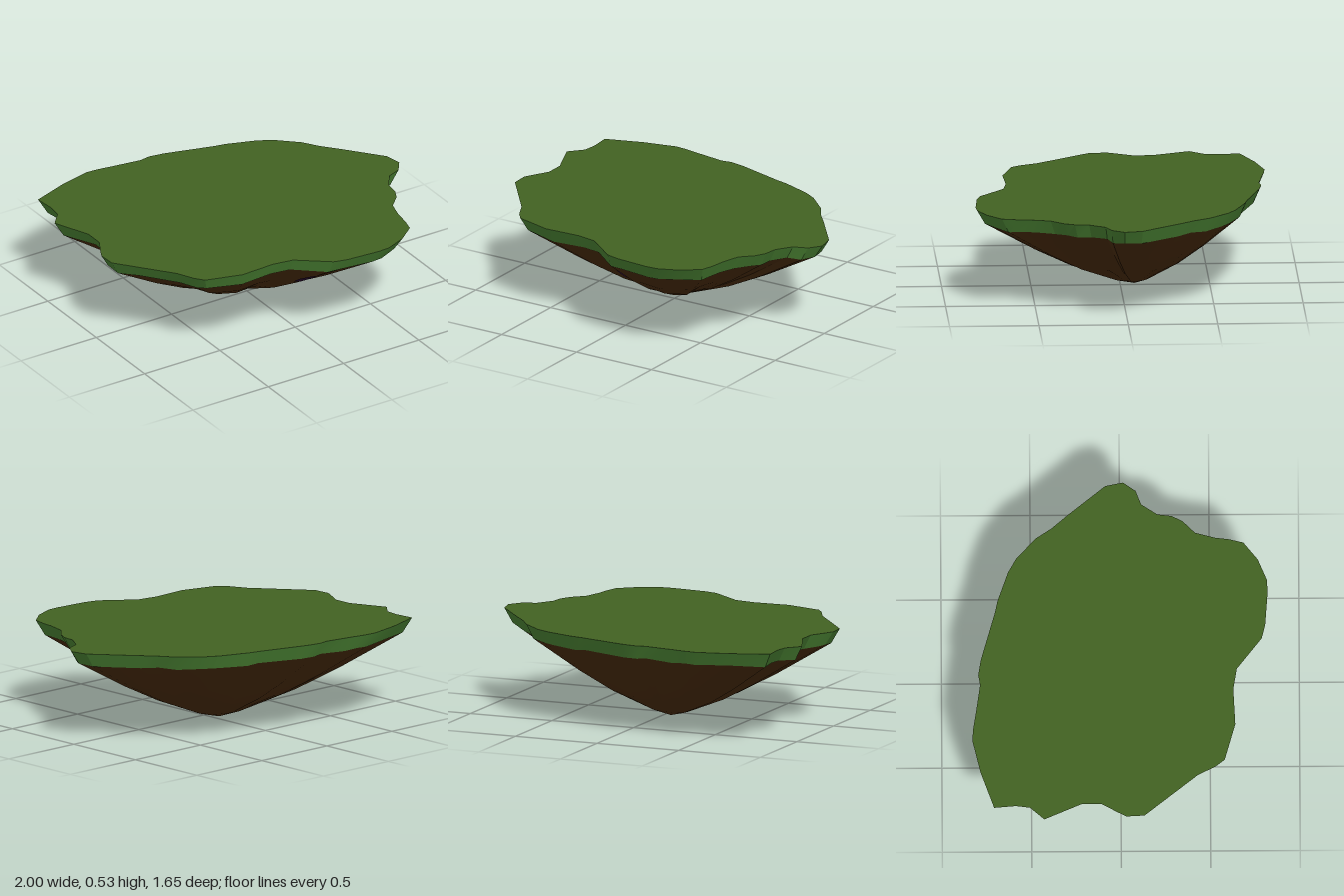
import * as THREE from 'three';
import { toCreasedNormals } from 'three/addons/utils/BufferGeometryUtils.js';

// coastline of the island (x, z), clockwise seen from above
const COAST = [
  [-.53, -.83], [-.46, -.825], [-.37, -.81], [-.2, -.785], [-.14, -.795], [-.05, -.78], [.23, -.7], [.3, -.685],
  [.47, -.625], [.55, -.58], [.67, -.47], [.73, -.38], [.8, -.3], [.98, -.08], [1, .02], [.95, .09],
  [.87, .12], [.81, .21], [.8, .29], [.77, .35], [.7, .42], [.67, .53], [.66, .61], [.64, .69],
  [.54, .77], [.42, .82], [.35, .825], [.15, .81], [.07, .79], [-.11, .65], [-.23, .63], [-.44, .64],
  [-.65, .58], [-.69, .53], [-.74, .43], [-.9, .23], [-.98, .13], [-.985, .03], [-.96, -.02], [-.91, -.11],
  [-.91, -.22], [-1, -.43], [-.93, -.51], [-.92, -.59], [-.93, -.71], [-.72, -.785],
];
const N = COAST.length;
const TIP = [-.04, -.08];
const TOP = .53;

// point of the coastline shrunk towards the tip, at height y
const at = ([x, z], s, y) => [TIP[0] + s * (x - TIP[0]), y, TIP[1] + s * (z - TIP[1])];

// ring of points with a small ripple in height
const ring = (s, y, ripple = 0) =>
  COAST.map((p, i) => at(p, s, y + ripple * Math.sin(i * 2.4)));

function geometry(points) {
  const g = new THREE.BufferGeometry();
  g.setAttribute('position', new THREE.Float32BufferAttribute(points.flat(), 3));
  return toCreasedNormals(g, .35);
}

// walls between successive rings, from the top down
function skin(rings) {
  const tris = [];
  for (let r = 0; r < rings.length - 1; r++) {
    for (let i = 0; i < N; i++) {
      const j = (i + 1) % N, u = rings[r], l = rings[r + 1];
      tris.push(u[i], u[j], l[j], u[i], l[j], l[i]);
    }
  }
  return tris;
}

export function createModel() {
  const group = new THREE.Group();
  const paint = (name, color, side = THREE.FrontSide) => {
    const m = new THREE.MeshStandardMaterial({ color, side });
    m.name = name;
    return m;
  };
  const add = (name, tris, material) => {
    const mesh = new THREE.Mesh(geometry(tris), material);
    mesh.name = name;
    group.add(mesh);
  };

  // flat meadow on top
  const edge = ring(1, TOP);
  const centre = [TIP[0], TOP, TIP[1]];
  add('meadow', edge.flatMap((p, i) => [centre, edge[(i + 1) % N], p]), paint('meadow green', 0x426222));

  // grassy rim leaning inwards
  const seam = ring(.95, .45, .004);
  add('grassRim', skin([edge, seam]), paint('rim green', 0x4a8233));

  // earth cone closing at the tip
  const last = ring(.13, .036);
  const rock = skin([seam, ring(.63, .265, .004), ring(.4, .147, .004), last]);
  last.forEach((p, i) => rock.push(p, last[(i + 1) % N], [TIP[0], 0, TIP[1]]));
  add('earthCone', rock, paint('earth brown', 0x4a2c0c));

  // small dark sliver lying on the front of the cone: [place along the coast segment, height]
  const a = COAST[29], b = COAST[28];
  const sliver = [[.71, .29], [.95, .29], [.98, .35], [.96, .4], [.8, .37], [.68, .33]].map(([f, y]) => {
    const s = .63 + (y - .265) / (.45 - .265) * .32;
    const p = at([a[0] + f * (b[0] - a[0]), a[1] + f * (b[1] - a[1])], s, y);
    return [p[0], p[1] - .004, p[2] + .008];
  });
  const fan = [];
  for (let i = 1; i < sliver.length - 1; i++) fan.push(sliver[0], sliver[i], sliver[i + 1]);
  add('darkSliver', fan, paint('dark purple', 0x2a0a2e, THREE.DoubleSide));

  return group;
}
